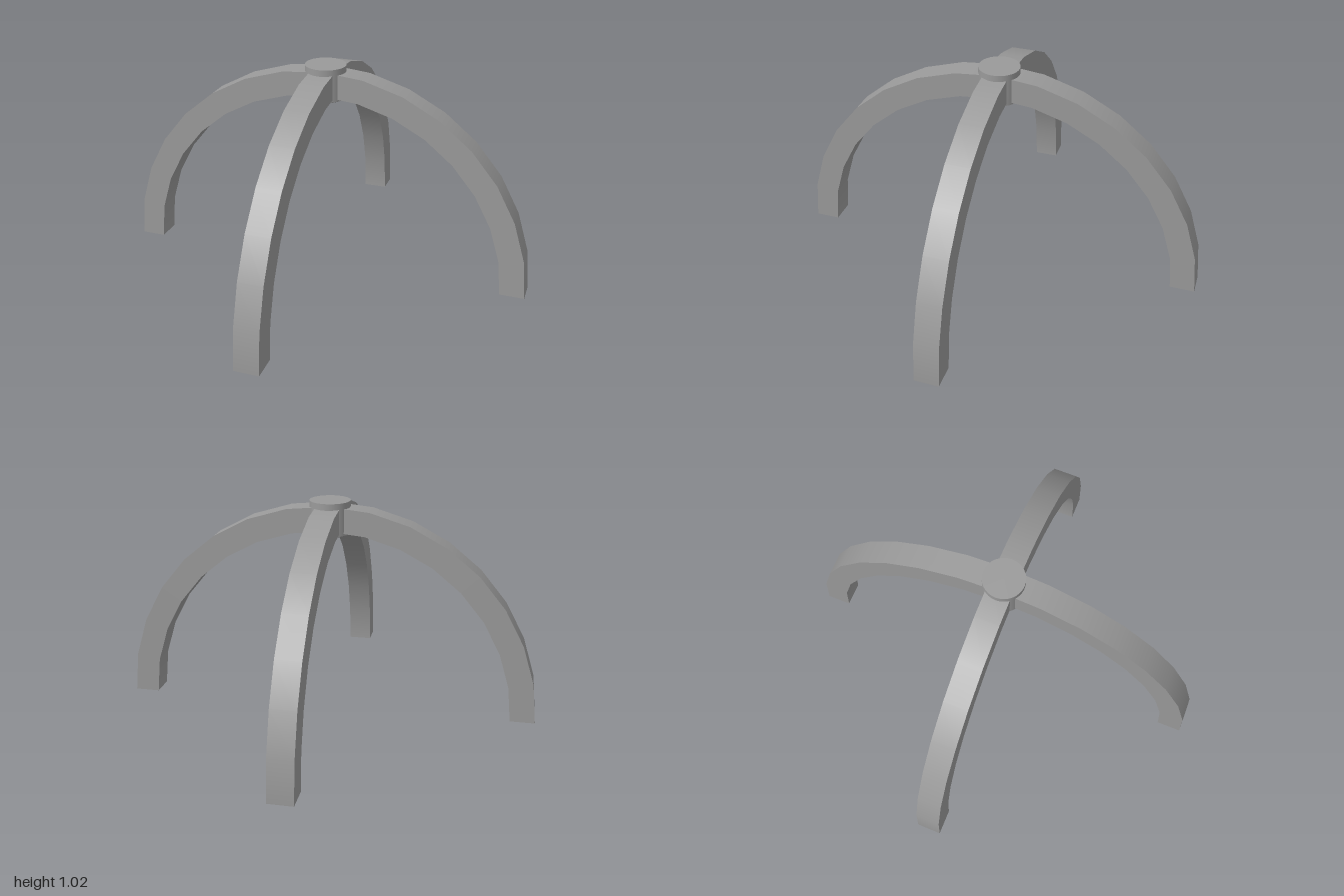
import * as THREE from 'three';
import { mergeGeometries } from 'three/addons/utils/BufferGeometryUtils.js';

const OUTER = 1, INNER = 0.883, WIDTH = 0.116, SEGMENTS = 16;

// Curved wall of a half circle standing in the xy plane
function curvedWall(radius) {
  return new THREE.CylinderGeometry(radius, radius, WIDTH, SEGMENTS, 1, true, Math.PI / 2, Math.PI)
    .rotateX(Math.PI / 2);
}

// Flat half-ring cheek, facing +z
function cheek() {
  return new THREE.RingGeometry(INNER, OUTER, SEGMENTS, 1, 0, Math.PI).translate(0, 0, WIDTH / 2);
}

export function createModel() {
  const model = new THREE.Group();
  model.name = 'crossedArchStand';
  const material = new THREE.MeshStandardMaterial({ color: 0x9a9a9a, side: THREE.DoubleSide });

  // Two crossing hollow arches, open at the feet
  const archGeometry = mergeGeometries([
    curvedWall(OUTER), curvedWall(INNER), cheek(), cheek().rotateY(Math.PI),
  ]);
  ['sideArch', 'frontBackArch'].forEach((name, i) => {
    const arch = new THREE.Mesh(archGeometry, material);
    arch.name = name;
    arch.rotation.y = i * Math.PI / 2;
    model.add(arch);
  });

  // Round hub through the crossing, with a small bevel round its underside
  const top = 1.021, bevelTop = 0.866, bottom = 0.859;
  const hub = new THREE.Mesh(mergeGeometries([
    new THREE.CylinderGeometry(0.096, 0.096, top - bevelTop, 32).translate(0, (top + bevelTop) / 2, 0),
    new THREE.CylinderGeometry(0.096, 0.082, bevelTop - bottom, 32).translate(0, (bevelTop + bottom) / 2, 0),
  ]), material);
  hub.name = 'hub';
  model.add(hub);

  return model;
}
